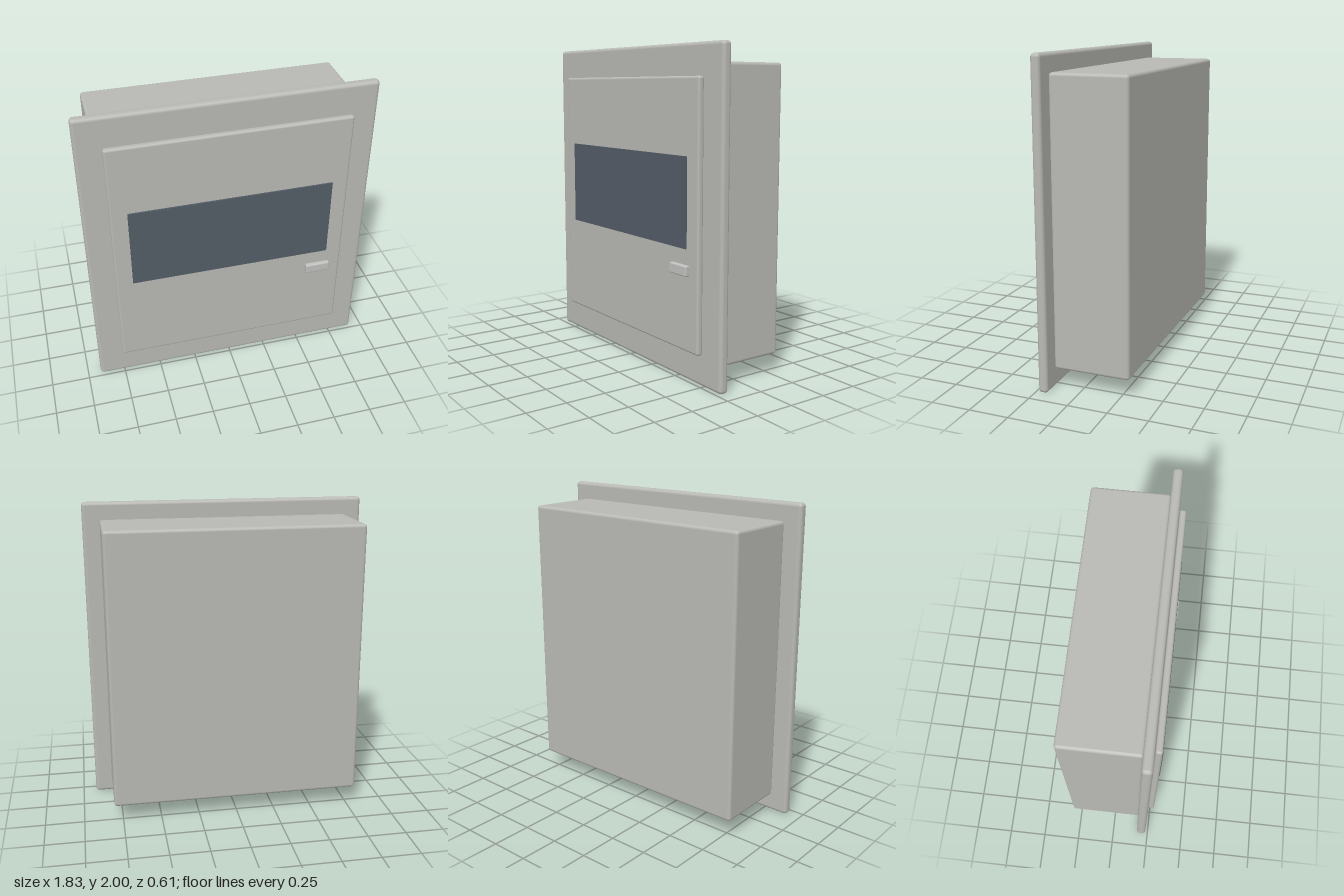
import * as THREE from 'three';
import { RoundedBoxGeometry } from 'three/addons/geometries/RoundedBoxGeometry.js';

export function createModel() {
  const group = new THREE.Group();
  group.name = 'electricalPanel';

  const material = (name, color) => {
    const m = new THREE.MeshStandardMaterial({ color });
    m.name = name;
    return m;
  };
  const casing = material('warmGreyCasing', 0xb8b8b4);
  const glass = material('darkWindow', 0x535c66);
  const latch = material('lightGreyLatch', 0xc0c0be);

  // Box given by its extents along each axis, with softened edges when radius > 0
  const box = (name, mat, [x0, x1], [y0, y1], [z0, z1], radius = 0) => {
    const size = [x1 - x0, y1 - y0, z1 - z0];
    const geometry = radius
      ? new RoundedBoxGeometry(...size, 3, radius)
      : new THREE.BoxGeometry(...size);
    const mesh = new THREE.Mesh(geometry, mat);
    mesh.name = name;
    mesh.position.set((x0 + x1) / 2, (y0 + y1) / 2, (z0 + z1) / 2);
    group.add(mesh);
  };

  // Recessed housing behind the wall flange
  box('housing', casing, [-0.805, 0.805], [0.115, 1.89], [-0.305, 0.178], 0.02);
  // Wide flange around the door
  box('flange', casing, [-0.915, 0.915], [0, 2], [0.173, 0.233], 0.022);
  // Door with its viewing window and latch
  box('door', casing, [-0.755, 0.755], [0.195, 1.81], [0.236, 0.277], 0.015);
  box('window', glass, [-0.648, 0.648], [0.815, 1.355], [0.277, 0.287]);
  box('latch', latch, [0.51, 0.673], [0.655, 0.72], [0.272, 0.305], 0.009);

  return group;
}
